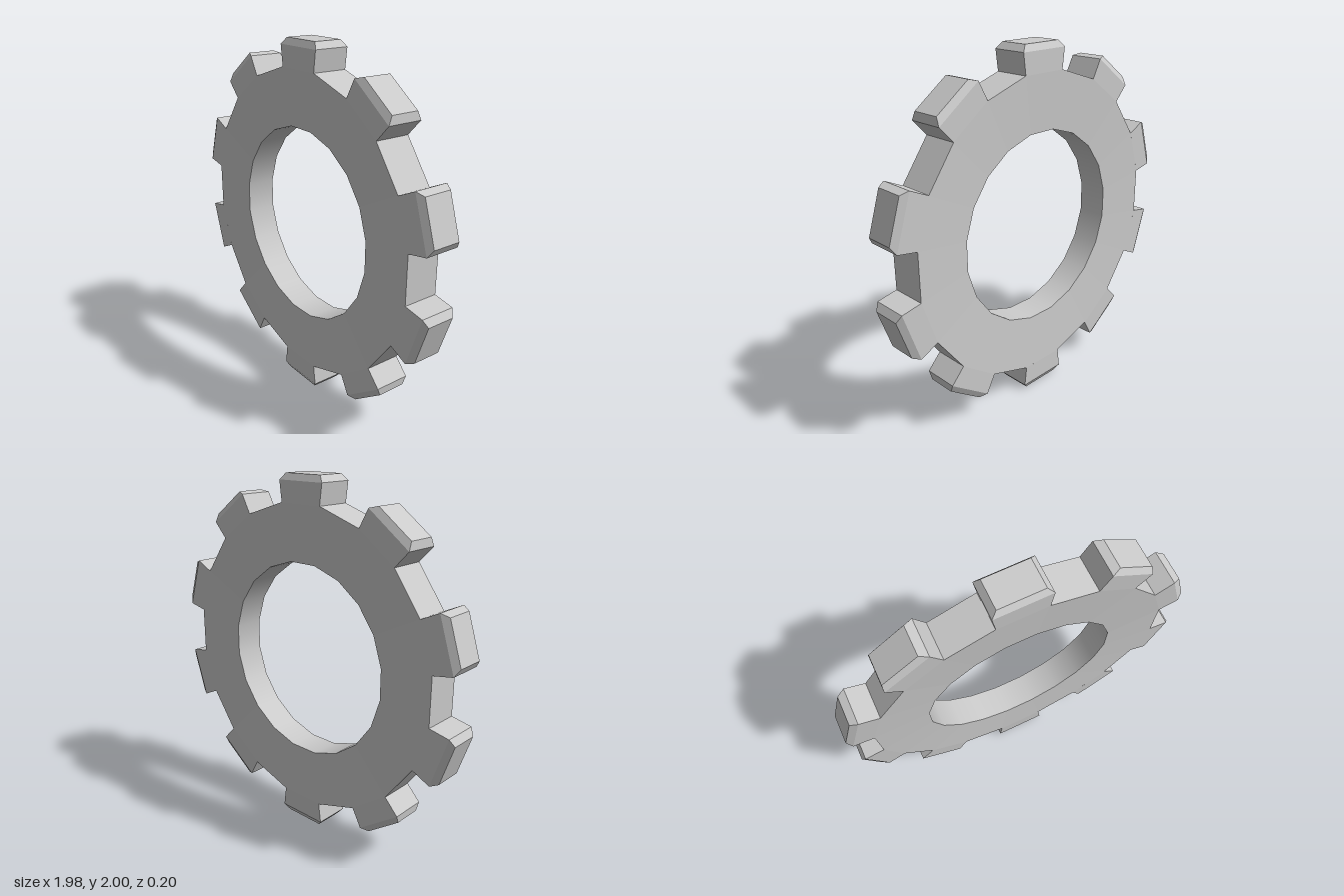
import * as THREE from 'three';

const TEETH = 10, SIDES = 20;
const HOLE_R = 0.547, RIM_R = 0.861;
const HOLE_Z = 0.085, RIM_Z = 0.1;

// Lathe about the z axis, with a flat facing straight up
function ringPart(profile) {
  const points = profile.map(([r, z]) => new THREE.Vector2(r, z));
  return new THREE.LatheGeometry(points, SIDES, Math.PI / SIDES).rotateX(Math.PI / 2);
}

// Tooth flaring outward, with a chamfered tip: [half width, radius, half depth]
function toothGeometry() {
  const levels = [[0.135, 0.85, 0.1], [0.15, 0.965, 0.1], [0.12, 1.0, 0.08]];
  const geo = new THREE.BoxGeometry(2, 2, 2, 1, 2, 1);
  const pos = geo.attributes.position;
  for (let i = 0; i < pos.count; i++) {
    const [w, y, d] = levels[Math.round(pos.getY(i)) + 1];
    pos.setXYZ(i, Math.sign(pos.getX(i)) * w, y, Math.sign(pos.getZ(i)) * d);
  }
  geo.computeVertexNormals();
  return geo;
}

export function createModel() {
  const group = new THREE.Group();
  const flat = new THREE.MeshStandardMaterial({ color: 0xcccccc, flatShading: true });
  const smooth = new THREE.MeshStandardMaterial({ color: 0xcccccc });

  const gear = new THREE.Group();
  gear.name = 'gear';
  gear.position.y = 1;
  group.add(gear);

  // Faceted body: slightly dished faces and the outer rim
  const body = new THREE.Mesh(
    ringPart([[HOLE_R, -HOLE_Z], [RIM_R, -RIM_Z], [RIM_R, RIM_Z], [HOLE_R, HOLE_Z]]), flat);
  body.name = 'gearBody';
  gear.add(body);

  // Smooth wall of the centre hole
  const wall = new THREE.Mesh(ringPart([[HOLE_R, HOLE_Z], [HOLE_R, -HOLE_Z]]), smooth);
  wall.name = 'holeWall';
  gear.add(wall);

  // Teeth on every other flat of the rim
  const tooth = toothGeometry();
  for (let i = 0; i < TEETH; i++) {
    const mesh = new THREE.Mesh(tooth, flat);
    mesh.name = `tooth${i + 1}`;
    mesh.rotation.z = (i / TEETH) * Math.PI * 2;
    gear.add(mesh);
  }
  return group;
}
